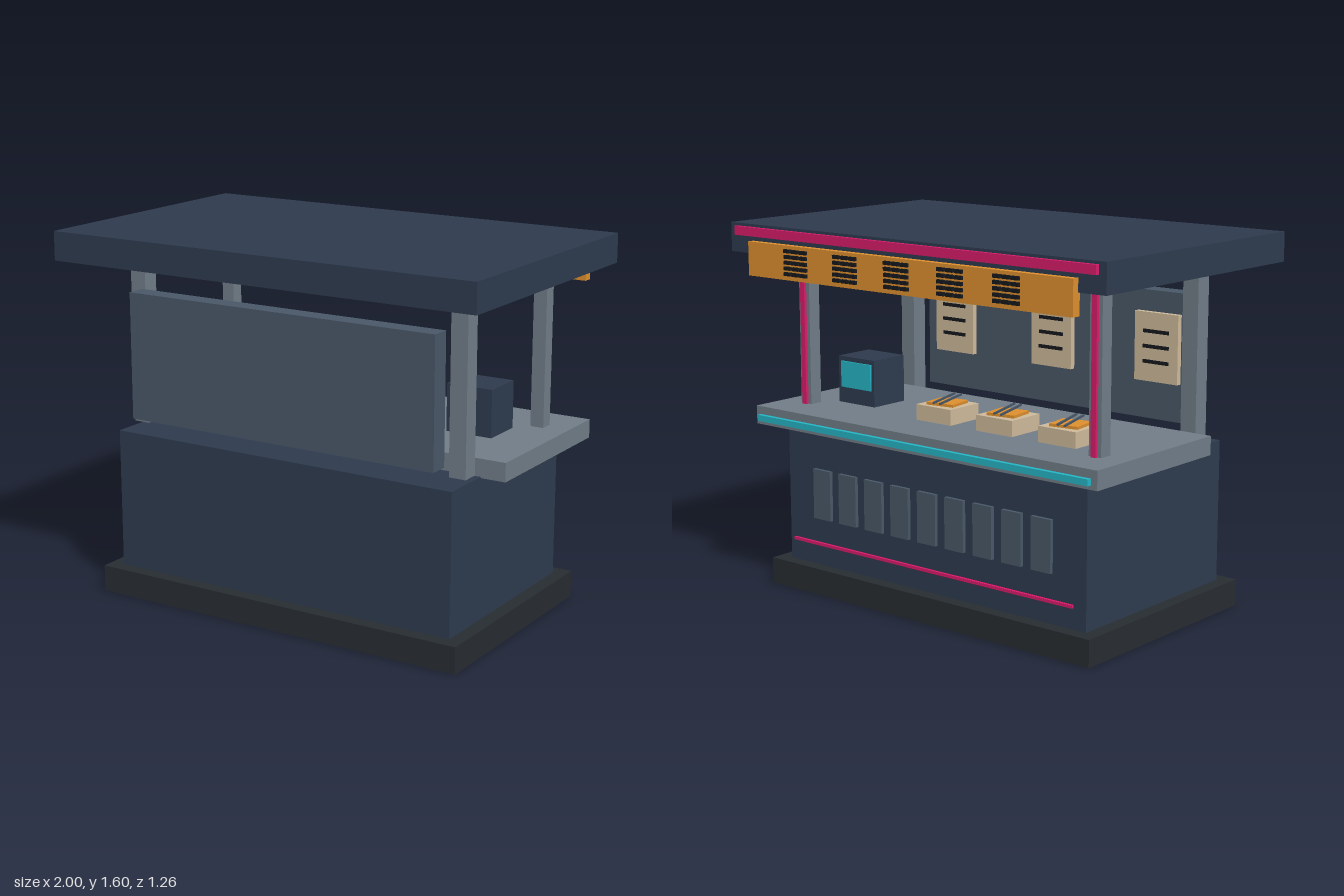
import * as THREE from 'three';

const material = (color) => new THREE.MeshStandardMaterial({ color, flatShading: true });
const navy = material(0x2d3a4d), black = material(0x272c31), grey = material(0x707c87);
const slate = material(0x485767), orange = material(0xdd8f2d), pink = material(0xd81b6a);
const cyan = material(0x25b5c4), tan = material(0xcdb99a), ink = material(0x14181c);

// Box given by its extent along each axis
function box(parent, name, mat, [x0, x1], [y0, y1], [z0, z1]) {
  const mesh = new THREE.Mesh(new THREE.BoxGeometry(x1 - x0, y1 - y0, z1 - z0), mat);
  mesh.position.set((x0 + x1) / 2, (y0 + y1) / 2, (z0 + z1) / 2);
  mesh.name = name;
  parent.add(mesh);
  return mesh;
}

const around = (c, size) => [c - size / 2, c + size / 2];

// Food tray with a slab of food and a pair of sticks laid across it
function foodTray(x) {
  const tray = new THREE.Group();
  tray.name = 'foodTray';
  tray.position.set(x, 0.8, -0.22);
  box(tray, 'trayBox', tan, around(0, 0.19), [0, 0.067], around(0, 0.18));
  const food = box(tray, 'food', orange, around(0, 0.13), [0.067, 0.079], around(0, 0.12));
  food.rotation.y = 0.15;
  for (const side of [-1, 1]) {
    const stick = box(tray, 'stick', slate, around(side * 0.018, 0.008), [0.085, 0.093], around(0, 0.22));
    stick.rotation.y = 0.3;
  }
  return tray;
}

export function createModel() {
  const model = new THREE.Group();
  model.name = 'foodStall';

  // Base, counter and roof
  box(model, 'plinth', black, [-0.88, 0.875], [0, 0.115], [-0.515, 0.52]);
  box(model, 'body', navy, [-0.82, 0.815], [0.115, 0.725], [-0.455, 0.46]);
  box(model, 'counter', grey, [-0.93, 0.925], [0.72, 0.8], [-0.54, 0.225]);
  box(model, 'roof', navy, [-1, 1], [1.475, 1.6], [-0.59, 0.63]);

  // Posts, with light strips on the serving side
  for (const side of [-1, 1]) {
    box(model, 'wallPost', grey, around(side * 0.78, 0.075), [0.745, 1.475], [0.28, 0.355]);
    box(model, 'servingPost', grey, around(side * 0.79, 0.06), [0.8, 1.475], [-0.37, -0.31]);
    box(model, 'postLight', pink, around(side * 0.79, 0.025), [0.8, 1.455], [-0.383, -0.369]);
  }

  // Closed wall with menu boards on its inner face
  box(model, 'wallPanel', slate, [-0.74, 0.735], [0.79, 1.34], [0.38, 0.465]);
  for (const x of [-0.56, 0, 0.56]) {
    box(model, 'menuBoard', tan, around(x, 0.22), [0.955, 1.25], [0.355, 0.381]);
    for (let i = 0; i < 3; i++)
      box(model, 'menuBar', ink, around(x, 0.13), around(1.04 + i * 0.065, 0.015), [0.35, 0.356]);
  }

  // Slats and light strips on the serving side
  for (let i = 0; i < 9; i++)
    box(model, 'slat', slate, around(0.605 - i * 0.151, 0.1), [0.325, 0.545], [-0.471, -0.454]);
  box(model, 'bodyLight', pink, [-0.77, 0.77], [0.21, 0.223], [-0.482, -0.47]);
  box(model, 'counterLight', cyan, [-0.9, 0.9], [0.738, 0.765], [-0.56, -0.539]);
  box(model, 'roofLight', pink, [-0.965, 0.96], [1.55, 1.588], [-0.609, -0.589]);

  // Sign board with patches of plain studs
  box(model, 'signBoard', orange, [-0.87, 0.865], [1.385, 1.53], [-0.62, -0.58]);
  for (let patch = 0; patch < 5; patch++)
    for (let col = 0; col < 3; col++)
      for (let row = 0; row < 5; row++)
        box(model, 'signStud', ink, around(-0.555 + patch * 0.283 + (col - 1) * 0.046, 0.036),
          around(1.412 + row * 0.024, 0.015), [-0.632, -0.619]);

  // Till and food on the counter
  box(model, 'till', navy, [0.5, 0.71], [0.8, 1.005], [-0.245, -0.055]);
  box(model, 'tillScreen', cyan, [0.515, 0.69], [0.87, 0.985], [-0.253, -0.244]);
  for (const x of [0.1, -0.23, -0.555]) model.add(foodTray(x));

  return model;
}
